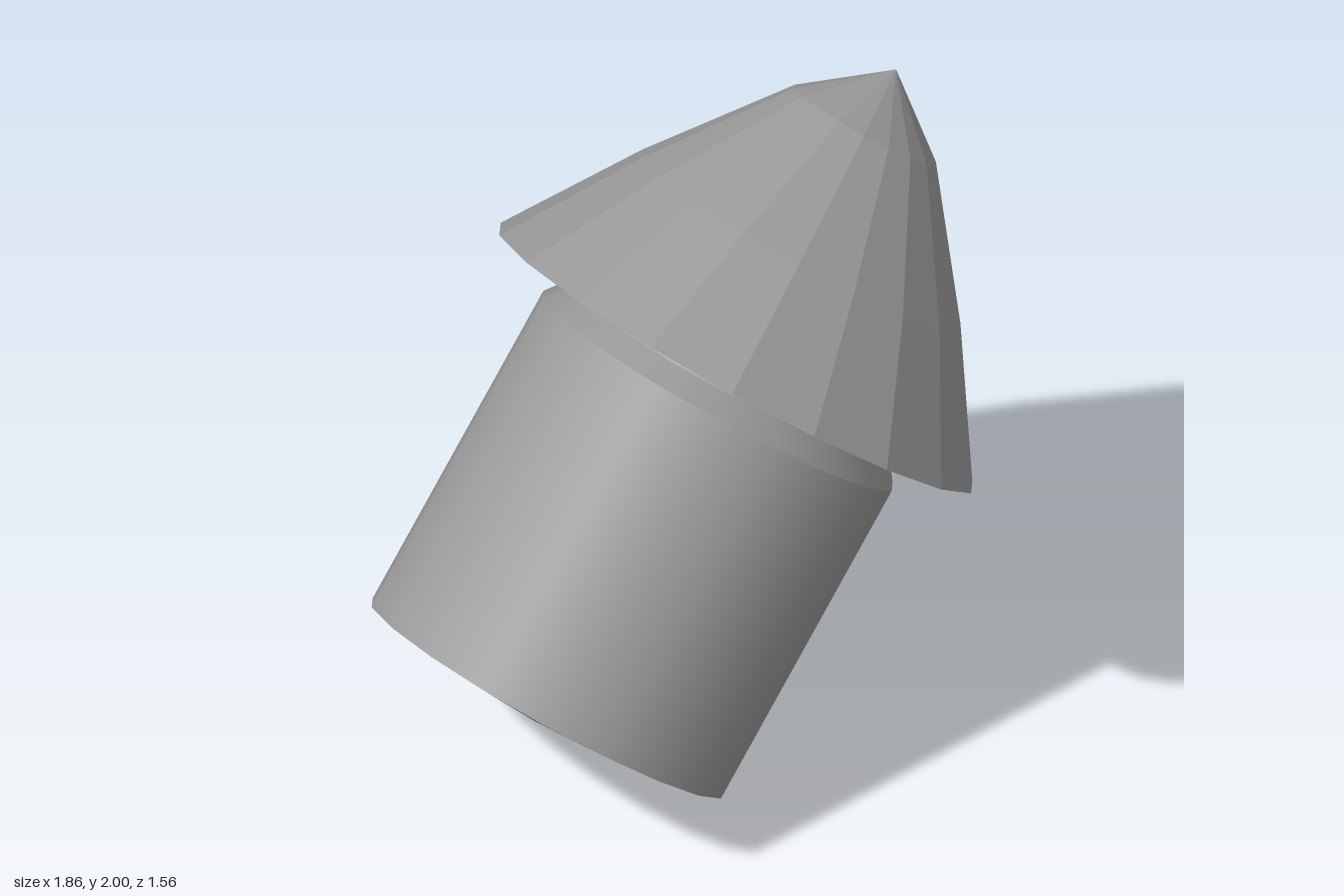
import * as THREE from 'three';

const SIDES = 18;

// Lathe a [radius, height] profile, listed from bottom to top
function turned(name, profile, flatShading) {
  const points = profile.map(([r, y]) => new THREE.Vector2(r, y));
  const geometry = new THREE.LatheGeometry(points, SIDES, Math.PI / 2);
  const material = new THREE.MeshStandardMaterial({ color: 0x999999, flatShading });
  const mesh = new THREE.Mesh(geometry, material);
  mesh.name = name;
  return mesh;
}

export function createModel() {
  const model = new THREE.Group();
  model.name = 'capped plug';

  // Everything is turned about one tilted axis
  const tilted = new THREE.Group();
  tilted.name = 'tiltedAxis';
  tilted.rotation.z = -THREE.MathUtils.degToRad(40.05);
  tilted.position.set(-0.482, 0.379, 0);
  model.add(tilted);

  tilted.add(
    // Shallow cone closing the lower end
    turned('baseCone', [[0, -0.075], [0.587, 0]], true),
    // Smooth cylindrical body
    turned('shaft', [[0.587, 0], [0.587, 1.028]], false),
    // Smooth bevelled shoulder and short neck under the cap
    turned('shoulder', [[0.587, 1.028], [0.532, 1.1]], false),
    turned('neck', [[0.532, 1.1], [0.528, 1.138]], false),
    // Faceted pointed cap with a flat underside
    turned('cap', [[0, 1.138], [0.793, 1.138], [0.535, 1.53], [0.237, 1.917], [0, 2.103]], true)
  );

  return model;
}
